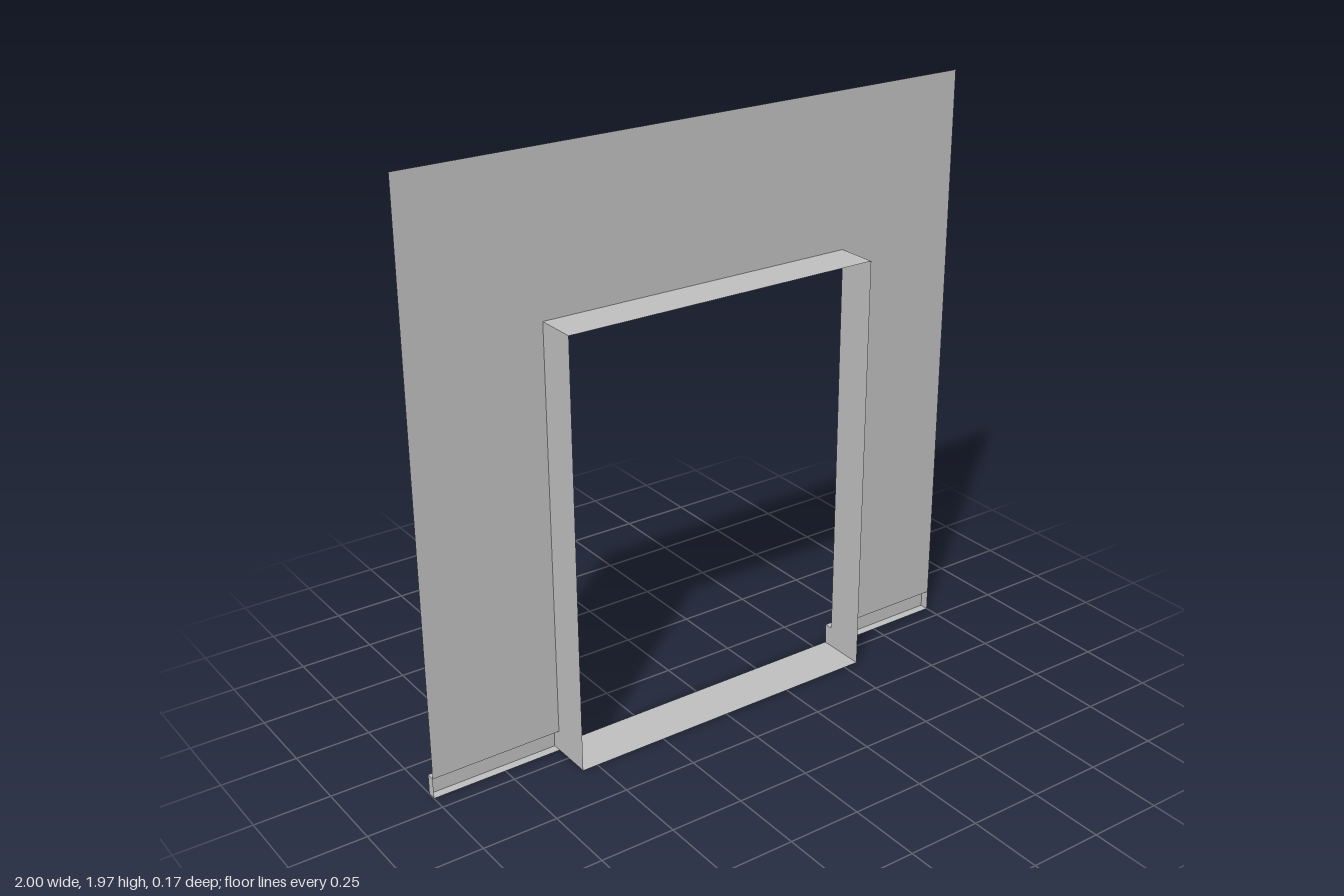
import * as THREE from 'three';

const WALL_Z = -0.055, FRONT_Z = 0.085, BACK_Z = -0.085;
const HALF_W = 1, WALL_TOP = 1.965, OPEN_W = 0.553, OPEN_TOP = 1.45, BASE_H = 0.07;

export function createModel() {
  const model = new THREE.Group();
  const plaster = new THREE.MeshStandardMaterial({ color: 0xc0c0c0, side: THREE.DoubleSide });

  const add = (parent, name, geometry) => {
    const mesh = new THREE.Mesh(geometry, plaster);
    mesh.name = name;
    parent.add(mesh);
    return mesh;
  };
  // Flat sheets spanning two axes, with zero thickness on the third
  const sheetX = (x, y0, y1, z0, z1) =>
    new THREE.PlaneGeometry(z1 - z0, y1 - y0).rotateY(Math.sign(x) * Math.PI / 2)
      .translate(x, (y0 + y1) / 2, (z0 + z1) / 2);
  const sheetY = (y, x0, x1, z0, z1) =>
    new THREE.PlaneGeometry(x1 - x0, z1 - z0).rotateX(y > 0 ? -Math.PI / 2 : Math.PI / 2)
      .translate((x0 + x1) / 2, y, (z0 + z1) / 2);
  const sheetZ = (z, x0, x1, y0, y1) =>
    new THREE.PlaneGeometry(x1 - x0, y1 - y0).rotateY(Math.PI)
      .translate((x0 + x1) / 2, (y0 + y1) / 2, z);

  // Thin wall around the doorway, stopping at the top of the baseboards
  const outline = new THREE.Shape([
    [-HALF_W, BASE_H], [-OPEN_W, BASE_H], [-OPEN_W, OPEN_TOP], [OPEN_W, OPEN_TOP],
    [OPEN_W, BASE_H], [HALF_W, BASE_H], [HALF_W, WALL_TOP], [-HALF_W, WALL_TOP],
  ].map(([x, y]) => new THREE.Vector2(x, y)));
  add(model, 'wall', new THREE.ShapeGeometry(outline).translate(0, 0, WALL_Z));

  // Door reveal: head, threshold and two jambs
  const reveal = new THREE.Group();
  reveal.name = 'doorReveal';
  model.add(reveal);
  add(reveal, 'head', sheetY(OPEN_TOP, -OPEN_W, OPEN_W, WALL_Z, FRONT_Z));
  add(reveal, 'threshold', sheetY(0, -OPEN_W, OPEN_W, BACK_Z, FRONT_Z));

  for (const [side, label] of [[1, 'left'], [-1, 'right']]) {
    add(reveal, label + 'Jamb', sheetX(side * OPEN_W, 0, OPEN_TOP, WALL_Z, FRONT_Z));

    // Hollow baseboard behind the wall, open towards the front
    const board = new THREE.Group();
    board.name = label + 'Baseboard';
    model.add(board);
    const x0 = side > 0 ? OPEN_W : -HALF_W, x1 = side > 0 ? HALF_W : -OPEN_W;
    add(board, 'baseboardFace', sheetZ(BACK_Z, x0, x1, 0, BASE_H));
    add(board, 'baseboardTop', sheetY(BASE_H, x0, x1, BACK_Z, WALL_Z));
    add(board, 'baseboardBottom', sheetY(0, x0, x1, BACK_Z, WALL_Z));
    add(board, 'baseboardOuterEnd', sheetX(side * HALF_W, 0, BASE_H, BACK_Z, WALL_Z));
    add(board, 'baseboardInnerEnd', sheetX(side * OPEN_W, 0, BASE_H, BACK_Z, WALL_Z));
  }
  return model;
}
